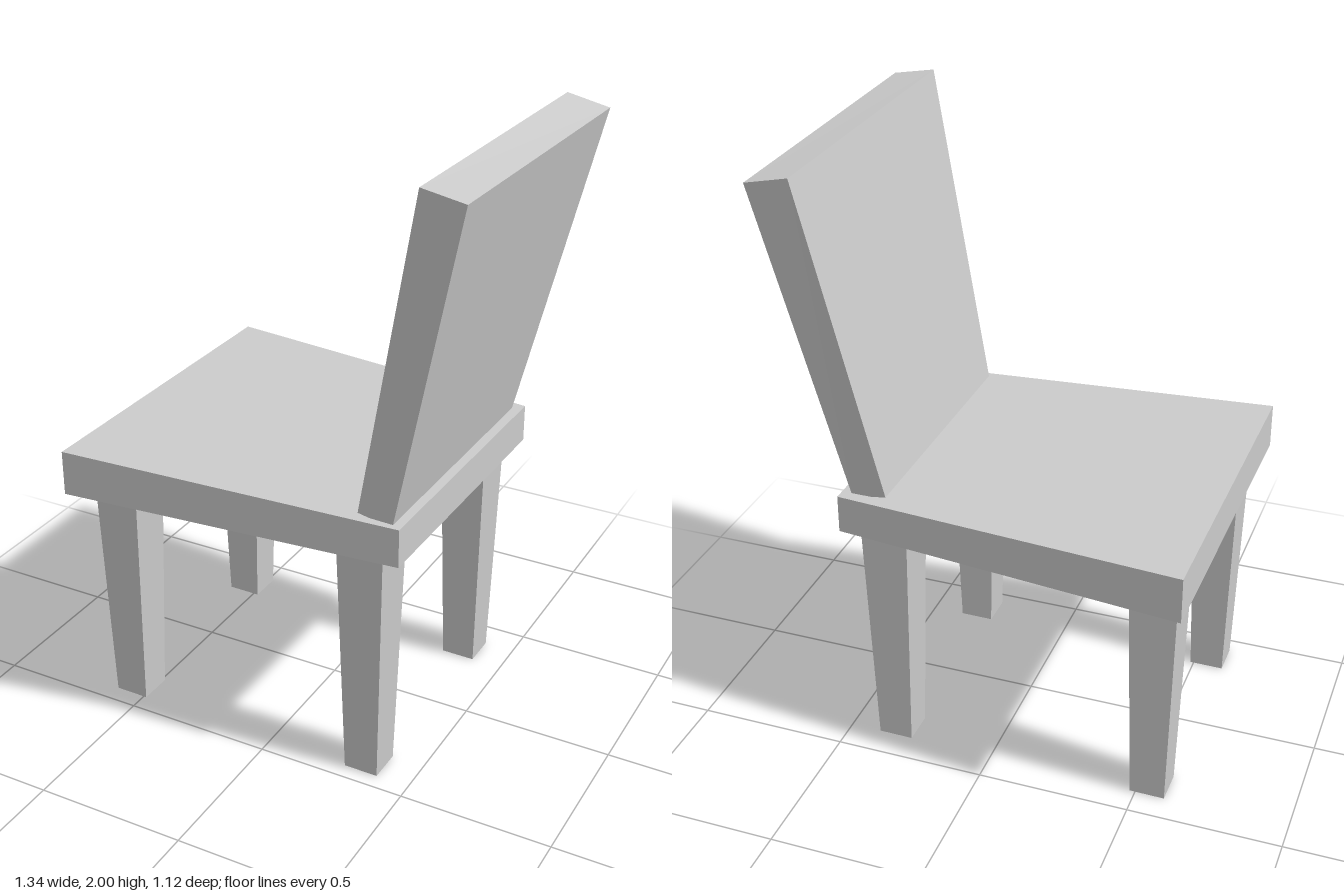
import * as THREE from 'three';

const material = new THREE.MeshStandardMaterial({ color: 0xcccccc, flatShading: true });

// Six-sided block; corners of each end in the order (-x,-z), (-x,+z), (+x,-z), (+x,+z)
function block(name, bottom, top) {
  const geometry = new THREE.BoxGeometry(1, 1, 1);
  const p = geometry.attributes.position;
  for (let i = 0; i < p.count; i++) {
    const end = p.getY(i) > 0 ? top : bottom;
    const corner = (p.getX(i) > 0 ? 2 : 0) + (p.getZ(i) > 0 ? 1 : 0);
    p.setXYZ(i, ...end[corner]);
  }
  geometry.computeVertexNormals();
  const mesh = new THREE.Mesh(geometry, material);
  mesh.name = name;
  return mesh;
}

// Square ring of corners, turned by the slight twist of the whole chair
const TWIST = 0.009;
function square(x, z, half, y) {
  return [[-1, -1], [-1, 1], [1, -1], [1, 1]].map(([sx, sz]) => {
    const px = x + sx * half, pz = z + sz * half;
    return [px - TWIST * pz, y, pz + TWIST * px];
  });
}

export function createModel() {
  const chair = new THREE.Group();
  chair.name = 'chair';

  // Seat: wide and thick at the sitting edge (-x), narrower under the backrest
  chair.add(block('seat',
    [[-0.66, 0.8, -0.565], [-0.67, 0.8, 0.56], [0.475, 0.81, -0.455], [0.467, 0.81, 0.48]],
    [[-0.66, 0.95, -0.565], [-0.67, 0.95, 0.56], [0.475, 0.935, -0.455], [0.467, 0.937, 0.48]]));

  // Backrest: leaning slab that widens upwards
  chair.add(block('backrest',
    [[0.325, 0.945, -0.425], [0.32, 0.945, 0.457], [0.44, 0.925, -0.42], [0.435, 0.925, 0.46]],
    [[0.53, 1.99, -0.525], [0.53, 2.0, 0.532], [0.67, 1.96, -0.525], [0.668, 1.975, 0.532]]));

  // Four tapered legs
  for (const [end, x] of [['front', -0.543], ['back', 0.336]]) {
    for (const [side, z] of [['Right', 0.387], ['Left', -0.347]]) {
      chair.add(block(`${end}${side}Leg`, square(x, z, 0.057, 0), square(x, z, 0.078, 0.82)));
    }
  }
  return chair;
}
